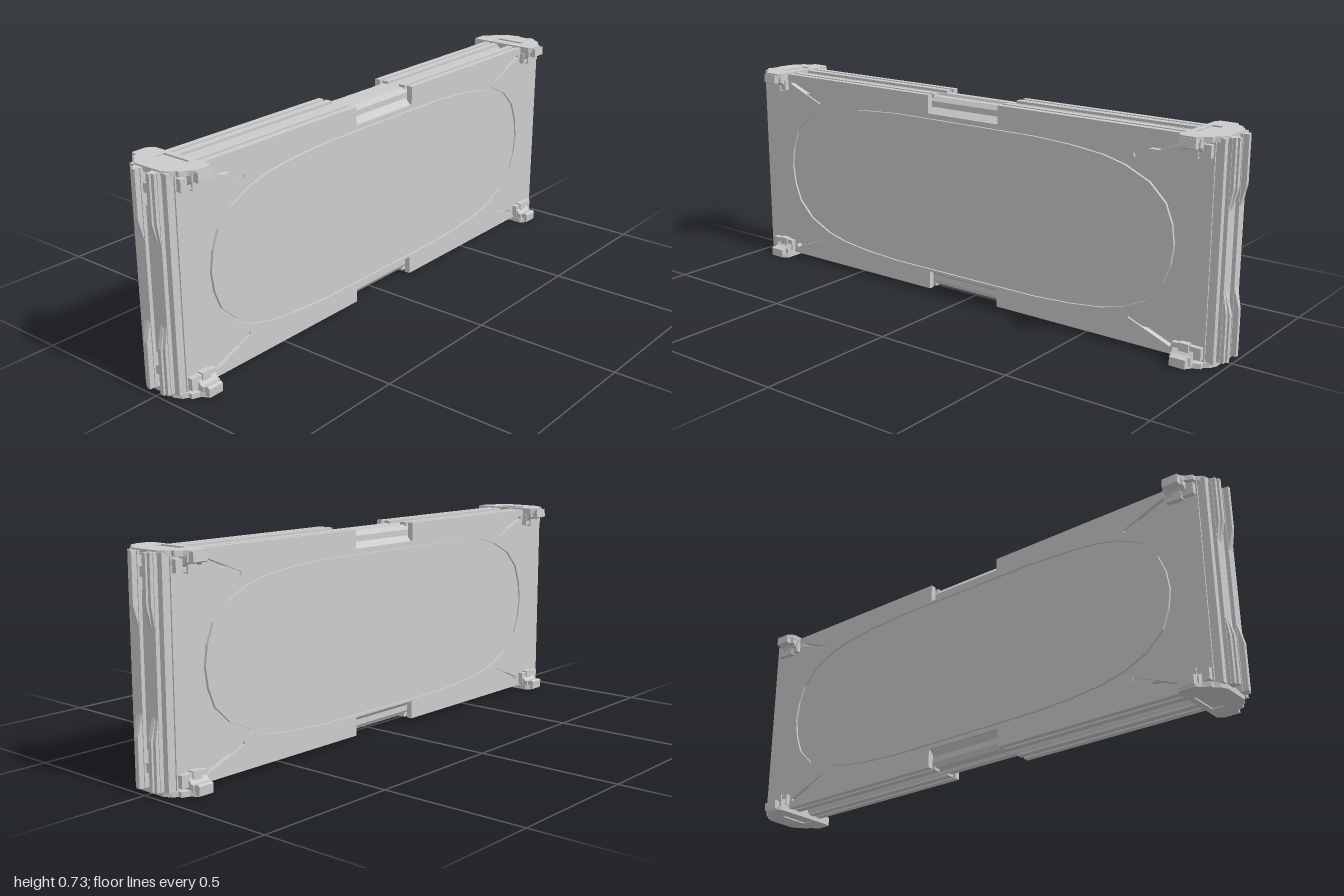
import * as THREE from 'three';

const mat = new THREE.MeshStandardMaterial({ color: 0xcccccc, flatShading: true });
const MID = 0.3675; // mid height of the panel

const polyShape = (pts) => new THREE.Shape(pts.map(([a, b]) => new THREE.Vector2(a, b)));
const polyPath = (pts) => new THREE.Path(pts.map(([a, b]) => new THREE.Vector2(a, b)));
// full outline from one half, mirrored in the first coordinate
const mirrored = (half) => [...half, ...half.slice().reverse().map(([a, b]) => [-a, b])];

// Extrude a shape from `from` to `to` along x, y or z
function extrude(name, shape, axis, from, to) {
  const g = new THREE.ExtrudeGeometry(shape, { depth: to - from, bevelEnabled: false });
  g.translate(0, 0, from);
  if (axis === 'x') g.rotateY(Math.PI / 2);
  if (axis === 'y') g.rotateX(-Math.PI / 2);
  const m = new THREE.Mesh(g, mat);
  m.name = name;
  return m;
}

function box(name, x0, x1, y0, y1, z0, z1) {
  const m = new THREE.Mesh(new THREE.BoxGeometry(x1 - x0, y1 - y0, z1 - z0), mat);
  m.position.set((x0 + x1) / 2, (y0 + y1) / 2, (z0 + z1) / 2);
  m.name = name;
  return m;
}

// Faceted long oval, inset by d
function oval(d) {
  const quarter = [[0.835, 0], [0.825, 0.07], [0.80, 0.135], [0.74, 0.195], [0.65, 0.238], [0.57, 0.258], [0.45, 0.272], [0.3, 0.28]];
  const q = quarter.map(([x, y]) => [x - d * (x / 0.835), y - d * Math.min(1, y / 0.24)]);
  const top = mirrored(q);
  const bottom = top.slice(1, -1).reverse().map(([x, y]) => [x, -y]);
  return [...top, ...bottom].map(([x, y]) => [x, y + MID]);
}

// One broad face: frame with centre notches, oval panel, diagonal slits
function faceSide() {
  const side = new THREE.Group();
  side.name = 'faceSide';
  const frame = polyShape(mirrored([
    [0.15, 0.079], [0.15, 0.015], [0.945, 0.015], [0.945, 0.72], [0.15, 0.72], [0.15, 0.656],
  ]));
  frame.holes.push(polyPath(oval(0)));
  for (const sx of [1, -1]) for (const sy of [1, -1]) {
    frame.holes.push(polyPath([[0.675, 0.256], [0.83, 0.318], [0.825, 0.329], [0.67, 0.268]]
      .map(([x, y]) => [x * sx, MID + y * sy])));
  }
  side.add(extrude('faceFrame', frame, 'z', 0.06, 0.081));
  side.add(extrude('ovalPanel', polyShape(oval(0.011)), 'z', 0.06, 0.083));
  return side;
}

// Grooved rail along the top edge, with a lower bar in the centre gap
function edgeRail() {
  const rail = new THREE.Group();
  rail.name = 'edgeRail';
  rail.add(extrude('railCore', polyShape(mirrored([
    [0.054, 0.64], [0.054, 0.695], [0.043, 0.711], [0.02, 0.711], [0.016, 0.7],
  ])), 'x', -0.94, 0.94));
  rail.add(extrude('gapLedge', polyShape(mirrored([
    [0.074, 0.64], [0.074, 0.656], [0.054, 0.675],
  ])), 'x', -0.15, 0.15));
  for (const s of [1, -1]) for (const x of [-0.94, 0.15]) {
    const z = s * 0.036;
    rail.add(box('railRidge', x, x + 0.79, 0.705, 0.72, z - 0.012, z + 0.012));
  }
  return rail;
}

// Layered bar on one short end
function endBar() {
  const bar = new THREE.Group();
  bar.name = 'endBar';
  const section = [
    [0.92, 0.06], [0.945, 0.06], [0.945, 0.076], [0.972, 0.076], [0.972, 0.056],
    [0.96, 0.056], [0.96, 0.051], [0.982, 0.051], [0.982, 0.02], [0.962, 0.02],
  ];
  const outline = [...section, ...section.slice().reverse().map(([x, z]) => [x, -z])];
  bar.add(extrude('endProfile', polyShape(outline), 'y', 0.014, 0.72));
  // raised fins that dip in the middle
  const fin = (x, y) => polyShape([
    [0.965, 0.014], [x, 0.014], [x, 0.17], [0.976, y], [0.976, 0.735 - y], [x, 0.565], [x, 0.72], [0.965, 0.72],
  ]);
  for (const s of [1, -1]) {
    for (const [z, w, x, y] of [[0.043, 0.006, 0.993, 0.27], [0.03, 0.007, 1, 0.26]]) {
      bar.add(extrude('endFin', fin(x, y), 'z', s * z - w, s * z + w));
    }
  }
  // insert in the central channel
  bar.add(box('channelStrip', 0.955, 0.97, 0.13, 0.605, -0.019, 0.019));
  for (const y of [0.06, 0.645]) {
    bar.add(box('channelBlock', 0.955, 0.975, y, y + 0.03, -0.021, 0.021));
  }
  return bar;
}

// Clamp straddling a top corner
function cornerClamp() {
  const clamp = new THREE.Group();
  clamp.name = 'cornerClamp';
  clamp.add(extrude('clampBody', polyShape(mirrored([
    [0.083, 0.665], [0.092, 0.669], [0.11, 0.69], [0.118, 0.69], [0.118, 0.716], [0.1, 0.72],
  ])), 'x', 0.845, 0.915));
  for (const s of [1, -1]) {
    clamp.add(extrude('clampHook', polyShape([
      [0.112, 0.692], [0.132, 0.688], [0.14, 0.692], [0.138, 0.722], [0.112, 0.717],
    ].map(([z, y]) => [z * s, y])), 'x', 0.855, 0.91));
    clamp.add(box('clampFoot', 0.84, 0.94, 0.66, 0.7, s * 0.088 - 0.01, s * 0.088 + 0.01));
    clamp.add(box('clampTab', 0.865, 0.9, 0.655, 0.69, s * 0.09 - 0.013, s * 0.09 + 0.013));
  }
  // slotted cover plate
  const half = [[0.842, 0.115], [0.855, 0.128], [0.905, 0.128], [0.92, 0.108], [0.944, 0.098], [0.944, 0.085], [0.96, 0.075], [0.972, 0.05]];
  const plate = polyShape([...half, ...half.slice().reverse().map(([x, z]) => [x, -z])]);
  plate.holes.push(polyPath([[0.862, -0.055], [0.9, -0.055], [0.9, 0.055], [0.862, 0.055]]));
  clamp.add(extrude('clampPlate', plate, 'y', 0.708, 0.725));
  return clamp;
}

export function createModel() {
  const model = new THREE.Group();
  model.name = 'framedPanel';
  model.add(box('panelCore', -0.935, 0.935, 0.08, 0.655, -0.074, 0.074));

  const back = faceSide();
  back.rotation.y = Math.PI;
  model.add(faceSide(), back);

  for (const end of [0, Math.PI]) {
    const bar = endBar();
    bar.rotation.y = end;
    model.add(bar);
  }

  // top fittings, then the same turned over for the bottom
  for (const lower of [false, true]) {
    const edge = new THREE.Group();
    edge.name = lower ? 'bottomEdge' : 'topEdge';
    const rail = edgeRail();
    if (lower) rail.position.y = -0.01;
    edge.add(rail);
    for (const end of [0, Math.PI]) {
      const clamp = cornerClamp();
      clamp.rotation.y = end;
      edge.add(clamp);
    }
    if (lower) {
      edge.rotation.x = Math.PI;
      edge.position.y = 0.725;
    }
    model.add(edge);
  }
  return model;
}
